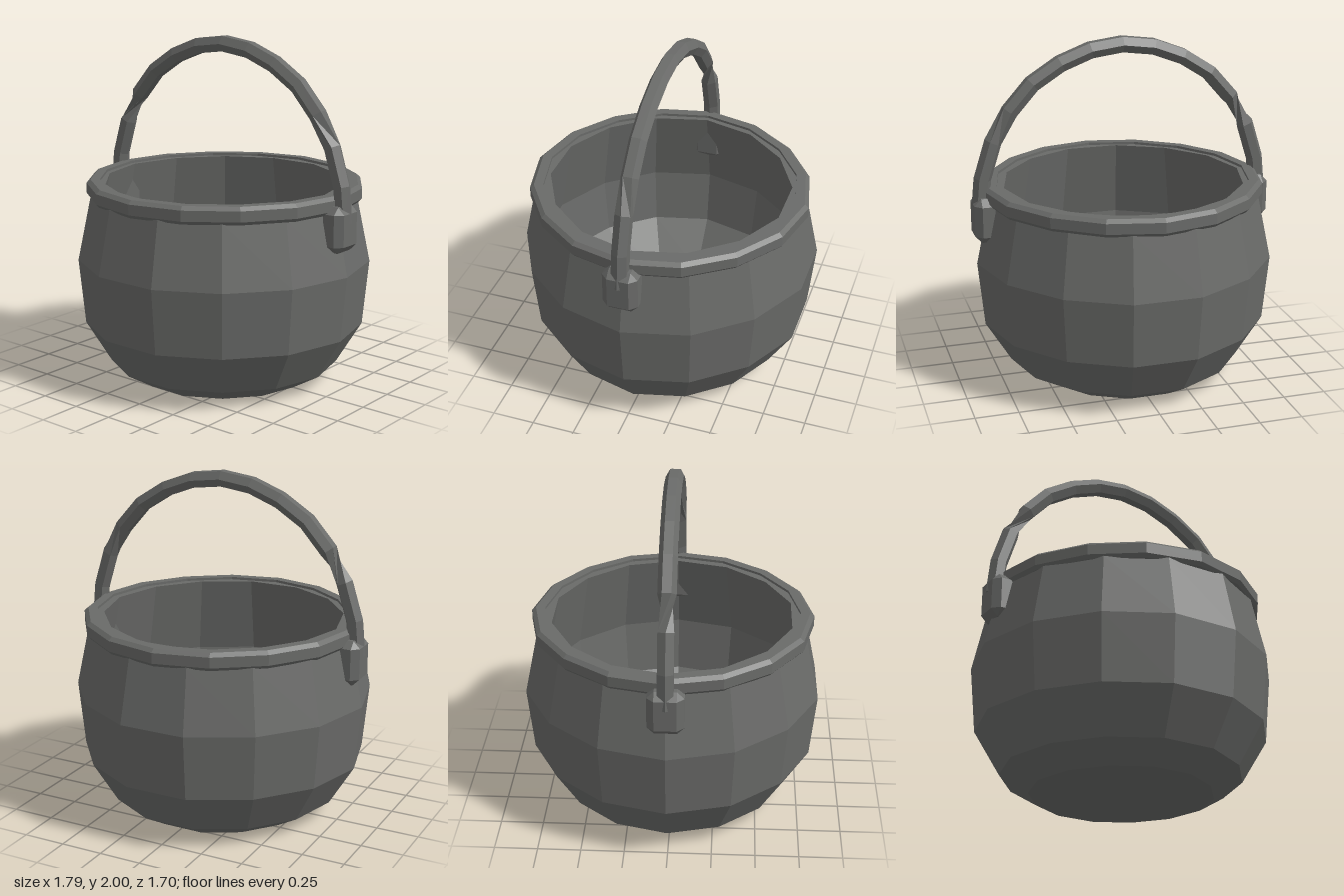
import * as THREE from 'three';
import { ConvexGeometry } from 'three/addons/geometries/ConvexGeometry.js';

const iron = new THREE.MeshStandardMaterial({ color: 0x6a6b69, flatShading: true });

function part(geometry, name) {
  const mesh = new THREE.Mesh(geometry, iron);
  mesh.name = name;
  return mesh;
}

// Turned profile, hand-hammered slightly inward on the diagonals
function hammeredLathe(profile, sides, phiStart) {
  const geometry = new THREE.LatheGeometry(profile.map(([r, y]) => new THREE.Vector2(r, y)), sides, phiStart);
  const p = geometry.attributes.position;
  for (let i = 0; i < p.count; i++) {
    const k = 1 + 0.011 * Math.cos(4 * Math.atan2(p.getX(i), p.getZ(i)));
    p.setXYZ(i, p.getX(i) * k, p.getY(i), p.getZ(i) * k);
  }
  return geometry;
}

// Box with every edge and corner cut by c; hx, hy, hz are half sizes
function chamferedBox(hx, hy, hz, c) {
  const points = [];
  for (const x of [-1, 1]) for (const y of [-1, 1]) for (const z of [-1, 1]) {
    points.push(
      new THREE.Vector3(x * hx, y * (hy - c), z * (hz - c)),
      new THREE.Vector3(x * (hx - c), y * hy, z * (hz - c)),
      new THREE.Vector3(x * (hx - c), y * (hy - c), z * hz));
  }
  return new ConvexGeometry(points);
}

// Hexagonal bar swept along the arch, twisted a quarter turn at the shoulders
function handleGeometry() {
  const half = [[0.843, 1.03], [0.823, 1.23], [0.757, 1.44], [0.658, 1.61], [0.525, 1.76], [0.36, 1.865], [0.185, 1.932]];
  const path = [...half, [0, 1.956], ...half.map(([x, y]) => [-x, y]).reverse()];
  const last = path.length - 1, n = 6, radius = 0.051;
  const positions = [], index = [];
  path.forEach(([x, y], i) => {
    const a = path[Math.max(i - 1, 0)], b = path[Math.min(i + 1, last)];
    const t = new THREE.Vector2(b[0] - a[0], b[1] - a[1]).normalize();
    const turn = Math.min(i, last - i) > 2 ? Math.PI / 2 : 0;
    for (let j = 0; j < n; j++) {
      const angle = turn + (j / n) * Math.PI * 2;
      const out = radius * Math.cos(angle);
      positions.push(x + t.y * out, y - t.x * out, radius * Math.sin(angle) - 0.005);
    }
  });
  for (let i = 0; i < last; i++) for (let j = 0; j < n; j++) {
    const k = (j + 1) % n;
    const p = i * n + j, q = i * n + k;
    index.push(p, p + n, q, q, p + n, q + n);
  }
  // End caps
  for (let j = 1; j < n - 1; j++) {
    index.push(0, j, j + 1, last * n, last * n + j + 1, last * n + j);
  }
  const geometry = new THREE.BufferGeometry();
  geometry.setAttribute('position', new THREE.Float32BufferAttribute(positions, 3));
  geometry.setIndex(index);
  geometry.computeVertexNormals();
  return geometry;
}

export function createModel() {
  const group = new THREE.Group();
  group.name = 'cauldron';

  // Hollow pot: outer wall up, over the lip, down the inner wall to the floor
  const pot = part(hammeredLathe([
    [0, 0], [0.52, 0], [0.685, 0.1], [0.832, 0.345], [0.868, 0.725], [0.79, 1.09], [0.765, 1.165],
    [0.7, 1.165], [0.79, 0.7], [0.75, 0.37], [0.54, 0.1], [0, 0.1],
  ], 14, Math.PI / 14), 'pot');
  pot.position.set(-0.007, 0, -0.006);
  group.add(pot);

  // Bevelled rim band with finer sides than the pot
  const rim = part(hammeredLathe([
    [0.735, 1.08], [0.795, 1.08], [0.813, 1.1], [0.813, 1.16], [0.79, 1.18], [0.735, 1.18], [0.735, 1.08],
  ], 16, 0), 'rim');
  rim.position.z = -0.008;
  group.add(rim);

  // Lugs that hold the handle ends
  for (const [side, name] of [[1, 'leftLug'], [-1, 'rightLug']]) {
    const lug = part(chamferedBox(0.075, 0.13, 0.102, 0.04), name);
    lug.position.set(side * 0.81, 1.0, -0.005);
    group.add(lug);
  }

  group.add(part(handleGeometry(), 'handle'));
  return group;
}
